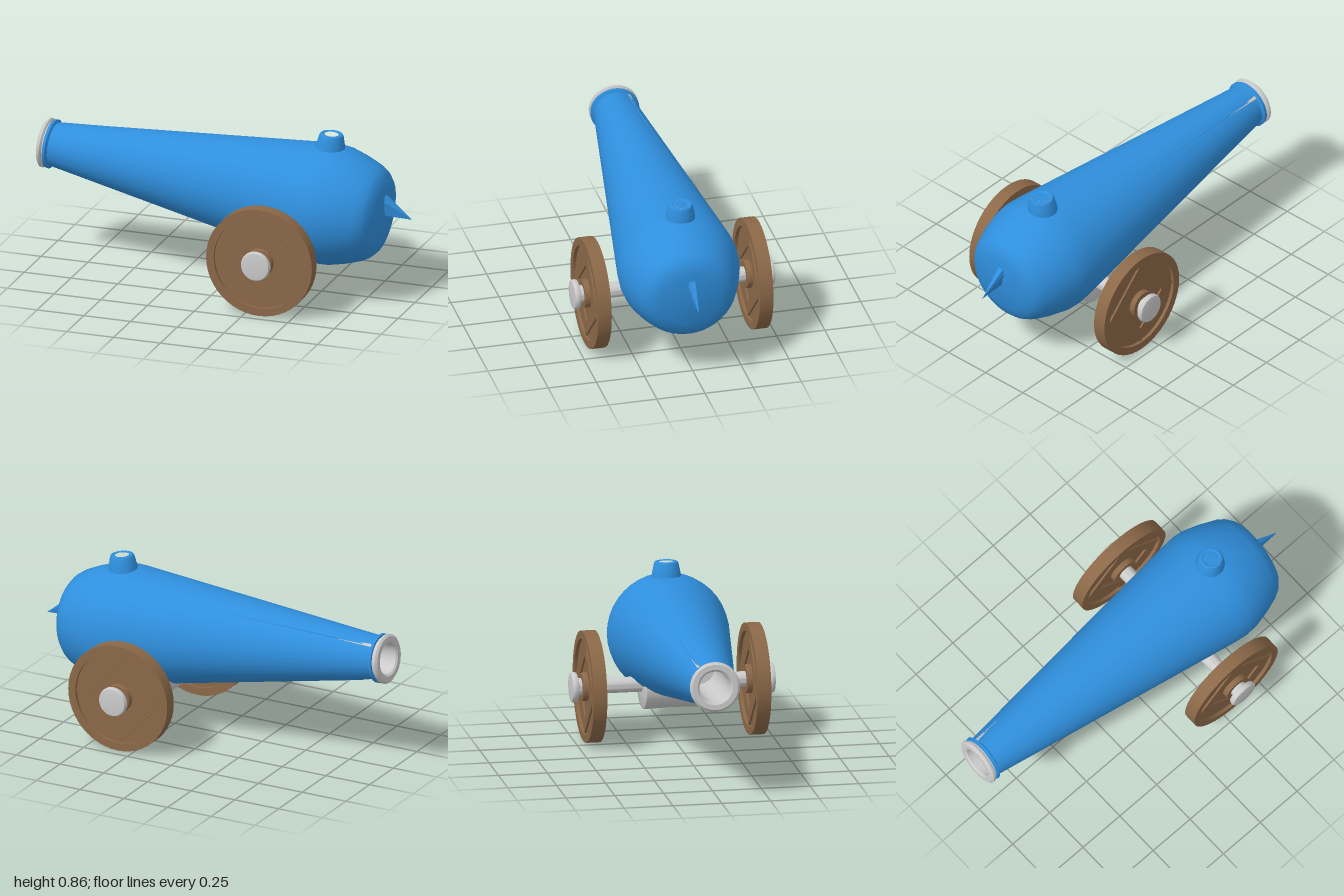
import * as THREE from 'three';
import { toCreasedNormals } from 'three/addons/utils/BufferGeometryUtils.js';
import { ConvexGeometry } from 'three/addons/geometries/ConvexGeometry.js';

const blue = new THREE.MeshStandardMaterial({ color: 0x2f8fdd });
const brown = new THREE.MeshStandardMaterial({ color: 0x8b6848 });
const grey = new THREE.MeshStandardMaterial({ color: 0xcccccc });

function add(parent, name, geometry, material) {
  const mesh = new THREE.Mesh(geometry, material);
  mesh.name = name;
  parent.add(mesh);
  return mesh;
}

// Turned part from [radius, height] pairs
function turned(points, segments = 32) {
  const profile = points.map(([r, h]) => new THREE.Vector2(r, h));
  return toCreasedNormals(new THREE.LatheGeometry(profile, segments), 0.6);
}

// Polygonal ring or plate, centred in depth on z = 0
function plate(radius, sides, hole, holeSides, depth) {
  const ring = (r, n) => Array.from({ length: n }, (_, i) => {
    const a = (i / n) * Math.PI * 2;
    return new THREE.Vector2(r * Math.cos(a), r * Math.sin(a));
  });
  const shape = new THREE.Shape(ring(radius, sides));
  if (hole) shape.holes.push(new THREE.Path(ring(hole, holeSides)));
  const g = new THREE.ExtrudeGeometry(shape, { depth, bevelEnabled: false });
  g.translate(0, 0, -depth / 2);
  return toCreasedNormals(g, 0.6);
}

// Thin tapering strip lying along the barrel's slope
function strip(parent, name, angle, s0, s1, width, height, material) {
  const r = (s) => 0.11 + 0.134 * s;
  const pts = [];
  for (const side of [-1, 1]) {
    pts.push(new THREE.Vector3(r(s0) - 0.01, s0, side * width));
    pts.push(new THREE.Vector3(r(s0) + height, s0, side * width * 0.7));
  }
  pts.push(new THREE.Vector3(r(s1), s1, 0));
  add(parent, name, new ConvexGeometry(pts), material).rotation.y = -angle;
}

function makeBarrel() {
  const barrel = new THREE.Group();
  barrel.name = 'barrel';
  // Local y runs from muzzle to breech, local x points up
  const along = new THREE.Vector3(1.45, -0.115, 0.05).normalize();
  const up = new THREE.Vector3(0, 1, 0).addScaledVector(along, -along.y).normalize();
  const side = new THREE.Vector3().crossVectors(up, along);
  barrel.quaternion.setFromRotationMatrix(new THREE.Matrix4().makeBasis(up, along, side));
  barrel.position.set(-0.95, 0.6, -0.03);

  add(barrel, 'barrelBody', turned([
    [0.1, -0.01], [0.124, -0.008], [0.126, 0.006], [0.111, 0.014], [0.112, 0.02],
    [0.302, 1.43], [0.308, 1.5], [0.303, 1.56], [0.28, 1.645], [0.25, 1.725],
    [0.228, 1.76], [0.2, 1.785], [0.15, 1.8], [0, 1.808],
  ], 40), blue);

  // Muzzle lip with the hollow bore
  add(barrel, 'muzzle', turned([
    [0, 0.5], [0.08, 0.5], [0.08, -0.035], [0.09, -0.043], [0.116, -0.043],
    [0.127, -0.034], [0.127, -0.024], [0.114, -0.016], [0.114, 0],
  ], 40), grey);

  // Fuse socket
  const fuse = new THREE.Group();
  fuse.name = 'fuse';
  fuse.position.set(0, 1.485, 0.008);
  fuse.rotation.z = -Math.PI / 2;
  barrel.add(fuse);
  add(fuse, 'fuseSocket', turned([
    [0.078, 0.27], [0.074, 0.305], [0.063, 0.36], [0.058, 0.371], [0.05, 0.374], [0.036, 0.37],
  ], 20), blue);
  add(fuse, 'fuseHole', turned([
    [0, 0.32], [0.034, 0.32], [0.036, 0.372], [0.042, 0.374],
  ], 20), grey);

  // Raised slivers near the muzzle
  strip(barrel, 'topSliver', 0.66, 0.01, 0.21, 0.012, 0.004, grey);
  strip(barrel, 'topRidge', 0.6, 0.015, 0.9, 0.012, 0.003, blue);
  strip(barrel, 'lowerSliver', 2.6, 0.01, 0.1, 0.01, 0.004, grey);
  return barrel;
}

function makeWheel() {
  const wheel = new THREE.Group();
  wheel.name = 'wheel';
  add(wheel, 'rim', plate(0.283, 48, 0.242, 48, 0.07), brown);
  add(wheel, 'panel', plate(0.25, 48, 0, 0, 0.036), brown);
  add(wheel, 'diamondFrame', plate(0.242, 4, 0.16, 4, 0.056), brown);
  // Stepped hub and grey axle cap
  add(wheel, 'hub', turned([
    [0, -0.046], [0.07, -0.046], [0.073, -0.042], [0.073, 0.036], [0.07, 0.046], [0, 0.046],
  ]), brown).rotation.x = Math.PI / 2;
  add(wheel, 'axleCap', turned([
    [0.044, 0.04], [0.044, 0.062], [0.06, 0.066], [0.073, 0.07], [0.077, 0.078],
    [0.077, 0.09], [0.072, 0.098], [0.06, 0.1], [0, 0.1],
  ]), grey).rotation.x = Math.PI / 2;
  return wheel;
}

export function createModel() {
  const model = new THREE.Group();
  model.name = 'cannon';
  model.add(makeBarrel());

  // Pointed spike on the breech
  const spike = [
    [0.83, 0.585, 0.045], [0.83, 0.585, 0.01], [0.83, 0.55, 0.052], [0.83, 0.55, 0.005],
    [0.83, 0.46, 0.035], [0.83, 0.46, 0.025], [0.995, 0.452, 0.028],
  ].map((p) => new THREE.Vector3(...p));
  add(model, 'breechSpike', new ConvexGeometry(spike), blue);

  // Axle with a thick waisted drum under the barrel
  const undercarriage = new THREE.Group();
  undercarriage.name = 'undercarriage';
  undercarriage.position.set(0.33, 0.284, 0);
  model.add(undercarriage);
  add(undercarriage, 'axle', turned([
    [0.039, -0.47], [0.039, -0.158], [0.118, -0.158], [0.127, -0.152], [0.128, -0.14],
    [0.124, 0], [0.128, 0.14], [0.127, 0.152], [0.118, 0.158], [0.039, 0.158], [0.039, 0.47],
  ]), grey).rotation.x = Math.PI / 2;

  for (const s of [1, -1]) {
    const wheel = makeWheel();
    wheel.name = s > 0 ? 'frontWheel' : 'backWheel';
    wheel.position.z = s * 0.42;
    if (s < 0) wheel.rotation.y = Math.PI;
    undercarriage.add(wheel);
  }
  return model;
}
